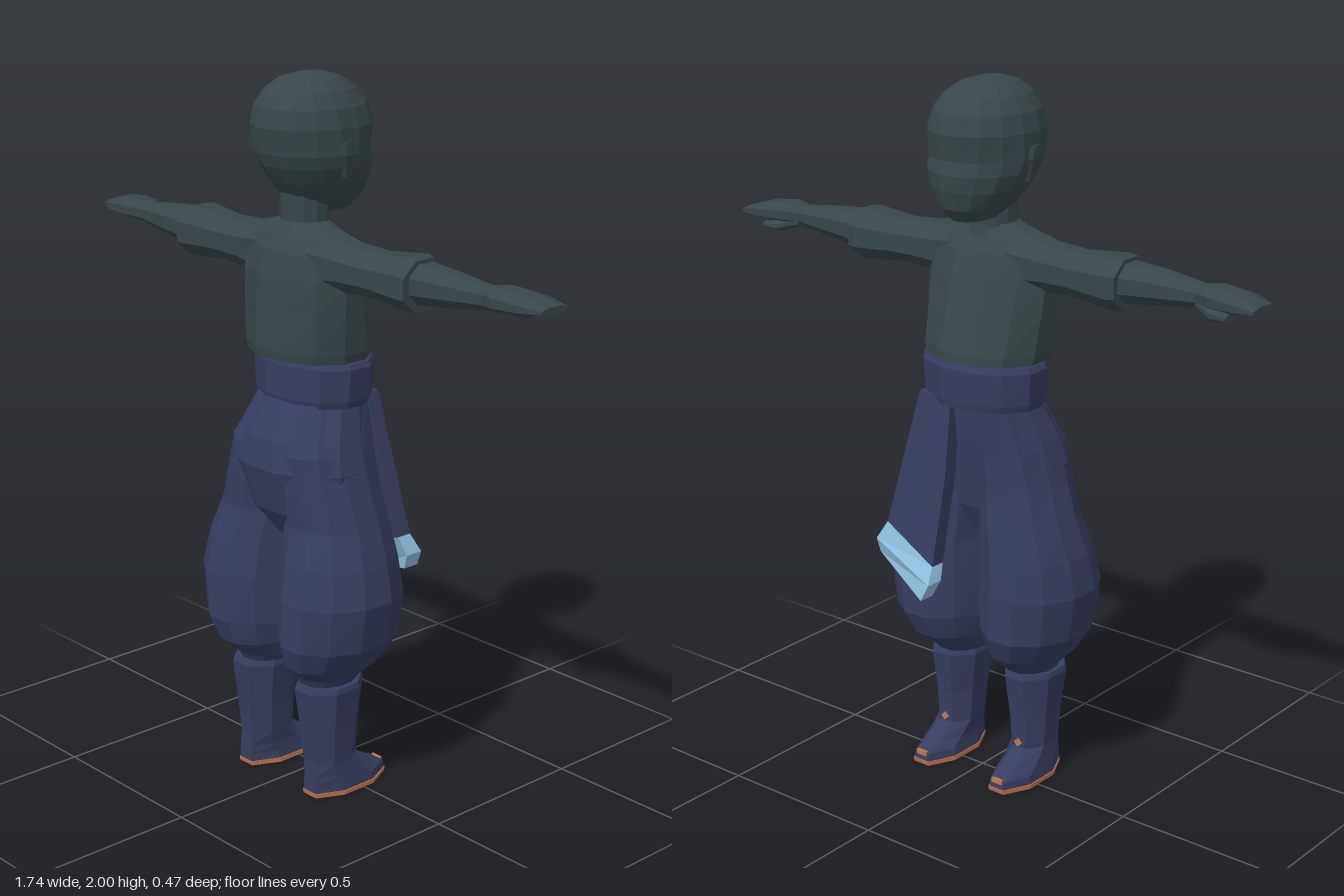
import * as THREE from 'three';

const mat = (name, color) => {
  const m = new THREE.MeshStandardMaterial({ color });
  m.name = name;
  return m;
};

// Closed faceted skin over rings of points, ordered upwards and counter-clockwise from above
function skin(rings) {
  const n = rings[0].length, pos = [];
  const tri = (a, b, c) => pos.push(...a, ...b, ...c);
  const centre = r => [0, 1, 2].map(k => r.reduce((s, p) => s + p[k], 0) / n);
  for (let i = 0; i < rings.length - 1; i++) {
    for (let j = 0; j < n; j++) {
      const k = (j + 1) % n, a = rings[i], b = rings[i + 1];
      tri(a[j], a[k], b[k]);
      tri(a[j], b[k], b[j]);
    }
  }
  const lo = rings[0], hi = rings[rings.length - 1], cl = centre(lo), ch = centre(hi);
  for (let j = 0; j < n; j++) {
    const k = (j + 1) % n;
    tri(cl, lo[k], lo[j]);
    tri(ch, hi[j], hi[k]);
  }
  const g = new THREE.BufferGeometry();
  g.setAttribute('position', new THREE.Float32BufferAttribute(pos, 3));
  g.computeVertexNormals();
  return g;
}

// Rows are [y, x0, x1, z0, z1]; with sideways they are [x, z0, z1, y0, y1]
function loft(rows, n = 8, sideways = false) {
  const f = 1 / Math.cos(Math.PI / n);
  return skin(rows.map(([t, a0, a1, b0, b1]) => Array.from({ length: n }, (_, j) => {
    const ang = (j + 0.5) / n * Math.PI * 2;
    const a = (a0 + a1) / 2 + (a1 - a0) / 2 * Math.cos(ang) * f;
    const b = (b0 + b1) / 2 - (b1 - b0) / 2 * Math.sin(ang) * f;
    return sideways ? [t, b, a] : [a, t, b];
  })));
}

// Symmetric rows [y, halfWidth, z0, z1]
const centred = (rows, n) => loft(rows.map(([y, w, z0, z1]) => [y, -w, w, z0, z1]), n);

// Rows for the left side, mirrored when s is -1
const upright = (rows, s, n) =>
  loft(s > 0 ? rows : rows.map(([y, x0, x1, z0, z1]) => [y, -x1, -x0, z0, z1]), n);
const sideways = (rows, s) =>
  loft(s > 0 ? rows : rows.map(([x, ...r]) => [-x, ...r]).reverse(), 8, true);

// Hanging cloth rows: [xL, yL, zL, xR, yR, zR, thickness]
const cloth = rows => skin(rows.map(([xl, yl, zl, xr, yr, zr, t]) =>
  [[xr, yr, zr + t], [xr, yr, zr], [xl, yl, zl], [xl, yl, zl + t]]));

export function createModel() {
  const group = new THREE.Group();
  const slate = mat('dark slate', 0x36474a);
  const navy = mat('navy cloth', 0x363d60);
  const blue = mat('light blue trim', 0x8abbd8);
  const orange = mat('orange sole', 0xc5744a);
  const add = (name, geo, m) => {
    const mesh = new THREE.Mesh(geo, m);
    mesh.name = name;
    group.add(mesh);
    return mesh;
  };

  // Head and neck
  add('head', centred([
    [1.635, 0.05, -0.11, 0.05], [1.67, 0.09, -0.137, 0.09], [1.72, 0.125, -0.15, 0.13],
    [1.765, 0.143, -0.153, 0.16], [1.8, 0.15, -0.142, 0.175], [1.87, 0.15, -0.15, 0.186],
    [1.92, 0.136, -0.135, 0.177], [1.96, 0.108, -0.105, 0.152], [1.988, 0.07, -0.062, 0.115],
    [2, 0.03, -0.02, 0.07],
  ], 16), slate);
  add('neck', centred([
    [1.55, 0.09, -0.03, 0.13], [1.61, 0.068, -0.02, 0.105], [1.74, 0.065, -0.03, 0.105],
  ], 12), slate);

  // Shirt
  add('torso', centred([
    [1.25, 0.18, -0.122, 0.172], [1.275, 0.186, -0.12, 0.175], [1.38, 0.195, -0.092, 0.168],
    [1.47, 0.2, -0.068, 0.16], [1.54, 0.195, -0.045, 0.145], [1.585, 0.15, -0.022, 0.125],
    [1.615, 0.07, -0.01, 0.105],
  ], 12), slate);

  // Sash around the waist
  add('sash', centred([
    [1.12, 0.17, -0.118, 0.138], [1.14, 0.178, -0.122, 0.142],
    [1.23, 0.186, -0.125, 0.142], [1.245, 0.178, -0.118, 0.136],
  ], 12), navy);
  add('waistLining', centred([[1.2, 0.165, -0.1, 0.13], [1.27, 0.165, -0.1, 0.13]], 12), navy);

  // Sash tail with its light trim
  const seam = [0.03, 0.67, -0.185, 0.235, 0.74, -0.135, 0.045];
  add('sashTail', cloth([
    seam, [0.02, 0.92, -0.14, 0.19, 0.94, -0.115, 0.045], [0.02, 1.14, -0.115, 0.14, 1.14, -0.1, 0.04],
  ]), navy);
  add('sashTrim', cloth([
    [0.03, 0.585, -0.235, 0.25, 0.65, -0.15, 0.05], [0.012, 0.63, -0.225, 0.26, 0.69, -0.155, 0.055], seam,
  ]), blue);

  // Hips
  add('hips', centred([
    [0.74, 0.08, -0.02, 0.12], [0.82, 0.2, -0.06, 0.175], [0.95, 0.215, -0.08, 0.213],
    [1.03, 0.193, -0.09, 0.195], [1.13, 0.158, -0.1, 0.14],
  ], 12), navy);

  for (const s of [1, -1]) {
    const side = s > 0 ? 'left' : 'right';

    // Ear
    add(side + 'Ear', upright([
      [1.74, 0.12, 0.142, 0.01, 0.03], [1.8, 0.13, 0.157, 0, 0.05], [1.835, 0.13, 0.157, 0.01, 0.05],
    ], s), slate);

    // Sleeve, forearm, hand and thumb
    add(side + 'Sleeve', sideways([
      [0.1, -0.03, 0.13, 1.43, 1.6], [0.2, -0.02, 0.115, 1.45, 1.578], [0.3, -0.025, 0.11, 1.455, 1.572],
      [0.43, -0.042, 0.118, 1.442, 1.585], [0.455, -0.035, 0.118, 1.445, 1.58],
    ], s), slate);
    add(side + 'Forearm', sideways([
      [0.43, -0.02, 0.1, 1.462, 1.572], [0.55, -0.008, 0.09, 1.476, 1.565], [0.69, 0.008, 0.066, 1.492, 1.55],
    ], s), slate);
    add(side + 'Hand', sideways([
      [0.67, 0.008, 0.064, 1.492, 1.55], [0.73, -0.03, 0.094, 1.498, 1.558],
      [0.81, -0.04, 0.088, 1.503, 1.55], [0.87, -0.032, 0.06, 1.512, 1.532],
    ], s), slate);
    add(side + 'Thumb', sideways([
      [0.68, 0, 0.04, 1.495, 1.52], [0.74, -0.03, 0.012, 1.478, 1.508], [0.79, -0.032, 0, 1.483, 1.5],
    ], s), slate);

    // Baggy trouser leg
    add(side + 'TrouserLeg', upright([
      [0.335, 0.055, 0.195, -0.015, 0.155], [0.355, 0.042, 0.205, -0.035, 0.165],
      [0.4, 0.025, 0.25, -0.09, 0.213], [0.47, 0.01, 0.295, -0.12, 0.235], [0.6, 0.006, 0.315, -0.122, 0.235],
      [0.7, 0.008, 0.296, -0.112, 0.216], [0.8, 0.002, 0.262, -0.1, 0.188],
      [0.9, 0, 0.228, -0.09, 0.19], [1.0, 0, 0.2, -0.09, 0.19], [1.12, 0.01, 0.15, -0.1, 0.13],
    ], s, 12), navy);

    // Boot with sole
    add(side + 'Boot', upright([
      [0.012, 0.077, 0.2, -0.112, 0.15], [0.035, 0.08, 0.198, -0.108, 0.15],
      [0.06, 0.082, 0.195, -0.06, 0.149], [0.1, 0.078, 0.192, -0.005, 0.148],
      [0.2, 0.07, 0.198, -0.01, 0.158], [0.32, 0.054, 0.212, -0.025, 0.172],
      [0.335, 0.058, 0.208, -0.02, 0.166],
    ], s), navy);
    add(side + 'Sole', upright([
      [0, 0.075, 0.202, -0.112, 0.15], [0.013, 0.075, 0.203, -0.115, 0.152],
    ], s), orange);

    // Small orange details on toe and ankle
    const toe = add(side + 'ToeMark', new THREE.BoxGeometry(0.035, 0.014, 0.008), orange);
    toe.position.set(s * 0.139, 0.034, -0.107);
    const ankle = add(side + 'AnkleMark', new THREE.BoxGeometry(0.018, 0.018, 0.008), orange);
    ankle.position.set(s * 0.135, 0.115, -0.007);
    ankle.rotation.z = Math.PI / 4;
  }
  return group;
}
